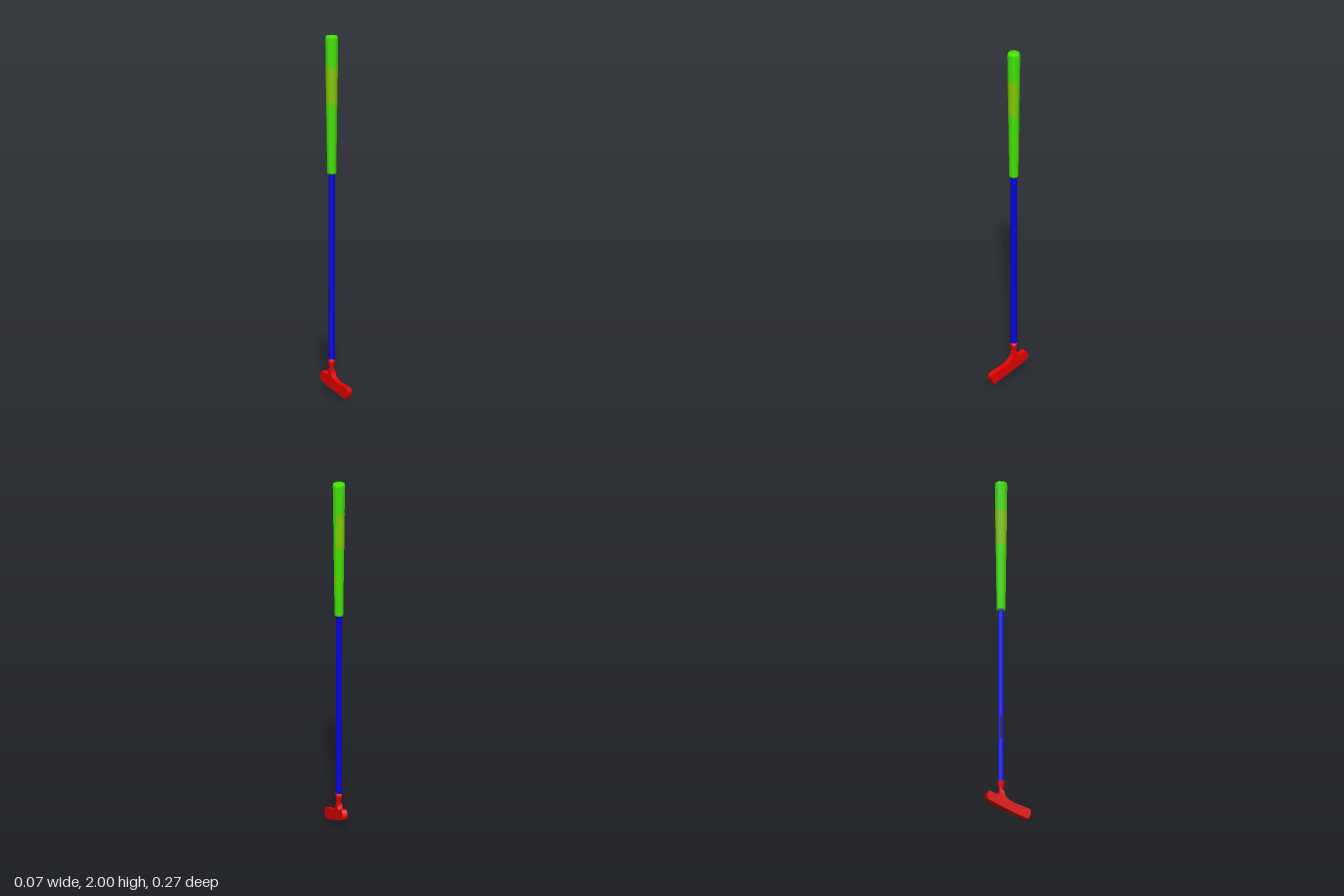
import * as THREE from 'three';
import { toCreasedNormals } from 'three/addons/utils/BufferGeometryUtils.js';

const mat = (name, color) => {
  const m = new THREE.MeshStandardMaterial({ color });
  m.name = name;
  return m;
};

export function createModel() {
  const green = mat('grip green', 0x44e600);
  const lime = mat('worn yellow green', 0x84cc00);
  const blue = mat('shaft blue', 0x0000e6);
  const navy = mat('dark scuff', 0x06062c);
  const red = mat('head red', 0xe60000);
  const SIDES = 8, AXIS_Z = -0.043;

  const model = new THREE.Group();
  model.name = 'putter';
  const add = (name, geometry, material, z = AXIS_Z) => {
    const m = new THREE.Mesh(geometry, material);
    m.name = name;
    m.position.z = z;
    model.add(m);
  };
  // Turned part from [radius, height] pairs, bottom to top
  const turned = pts => new THREE.LatheGeometry(pts.map(p => new THREE.Vector2(...p)), SIDES);

  // Tapered grip with softened ends
  add('grip', turned([[0, 1.23], [0.023, 1.23], [0.026, 1.24], [0.0365, 1.985], [0.032, 2], [0, 2]]), green);

  // Long straight shaft
  add('shaft', turned([[0.0185, 0.19], [0.0185, 1.235]]), blue);

  // Thin patches that follow whole facets of the grip or shaft
  const patch = (name, y0, y1, r0, r1, firstFacet, facets, material) => {
    const step = Math.PI / 4;
    const g = new THREE.CylinderGeometry(r1, r0, y1 - y0, facets, 1, true, firstFacet * step, facets * step);
    g.translate(0, (y0 + y1) / 2, 0);
    add(name, g, material);
  };
  const gripR = y => 0.0265 + (y - 1.24) * 0.0141;
  patch('upperGripPatch', 1.62, 1.83, gripR(1.62), gripR(1.83), 3, 7, lime);
  patch('lowerGripPatch', 1.4, 1.47, gripR(1.4), gripR(1.47), 2, 1, lime);
  patch('shaftScuff', 0.45, 0.59, 0.019, 0.019, -3, 1, navy);

  // Socket narrowing to a waist above the head
  add('socket', turned([[0.014, 0.09], [0.013, 0.14], [0.015, 0.16], [0.0195, 0.18],
    [0.0195, 0.198], [0, 0.2]]), red);

  // Head: side outline (z, y) extruded across its width
  const outline = [
    [0.098, 0.003], [0.113, 0], [0.124, 0.013], [0.132, 0.035], [0.133, 0.05],
    [0.126, 0.06], [0.11, 0.066], [0.035, 0.079], [0.005, 0.09], [-0.018, 0.106],
    [-0.028, 0.125], [-0.03, 0.145], [-0.056, 0.145], [-0.056, 0.125], [-0.063, 0.114],
    [-0.078, 0.112], [-0.095, 0.117], [-0.115, 0.125], [-0.126, 0.118], [-0.134, 0.09],
    [-0.132, 0.075], [-0.12, 0.067], [-0.07, 0.051], [-0.02, 0.035], [0.035, 0.02],
  ];
  const shape = new THREE.Shape(outline.map(p => new THREE.Vector2(...p)));
  const head = new THREE.ExtrudeGeometry(shape, { depth: 0.03, bevelEnabled: false });
  head.translate(0, 0, -0.015).rotateY(-Math.PI / 2);
  // Pinch the flare under the socket so it blends into the waist
  const p = head.attributes.position;
  for (let i = 0; i < p.count; i++) if (p.getY(i) > 0.13) p.setX(i, p.getX(i) * 0.75);
  add('head', toCreasedNormals(head, 0.9), red, 0);

  return model;
}
